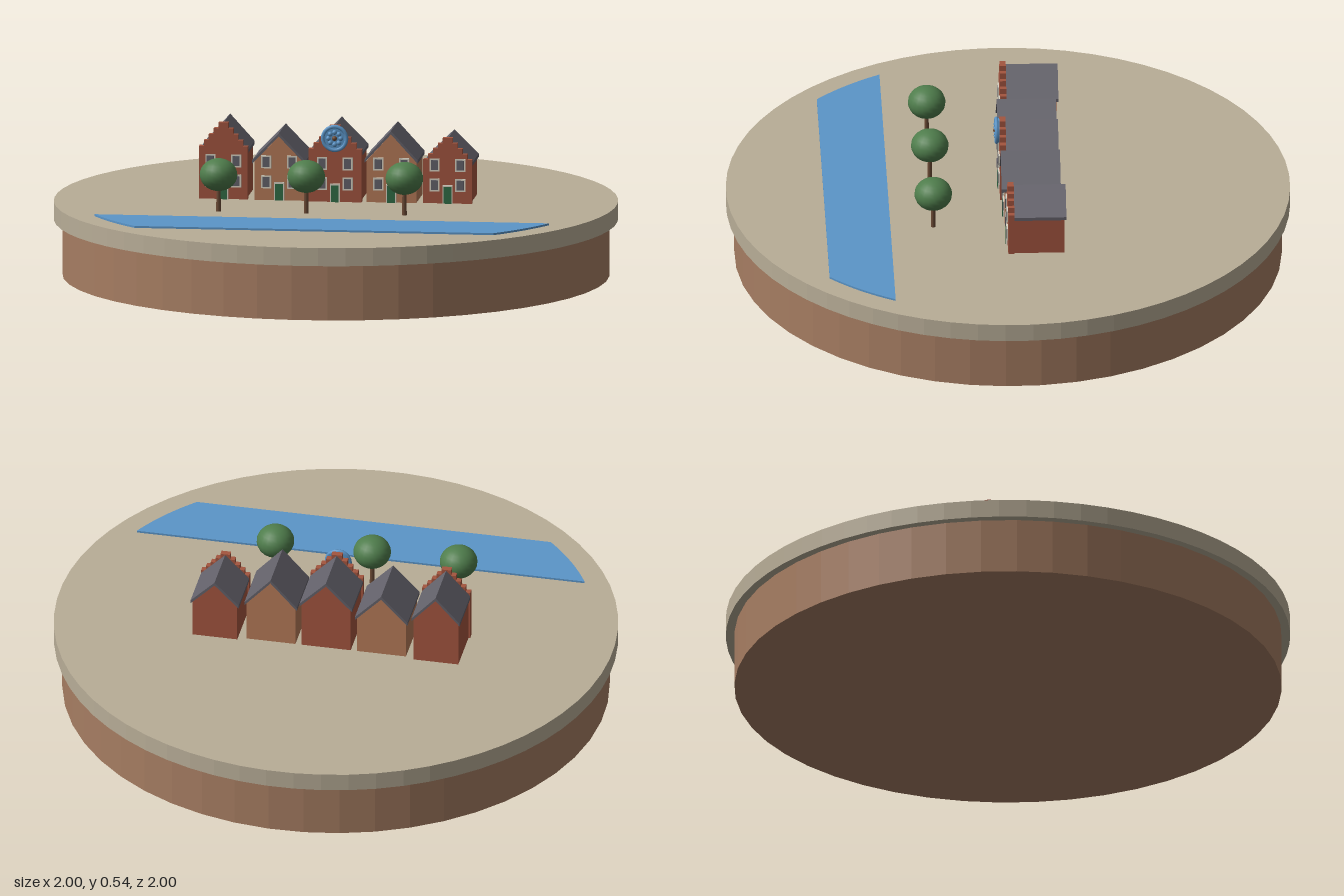
import * as THREE from 'three';

const mat = (name, color, opts = {}) => {
  const m = new THREE.MeshStandardMaterial({ color, ...opts });
  m.name = name;
  return m;
};

export function createModel() {
  const earth = mat('earth', 0xa67d62, { flatShading: true });
  const ground = mat('paving', 0xb8ad97, { flatShading: true });
  const blue = mat('blue', 0x5b95c8);
  const slate = mat('slate', 0x63616a);
  const red = mat('redBrick', 0xa3553f);
  const tan = mat('tanBrick', 0xb57a58);
  const bark = mat('bark', 0x6b4a35);
  const leaf = mat('leaf', 0x4f7d4c);
  const trim = mat('trim', 0xd8d2c2);
  const green = mat('doorGreen', 0x2f6b45);

  const model = new THREE.Group();
  const add = (parent, name, geo, material, x = 0, y = 0, z = 0) => {
    const m = new THREE.Mesh(geo, material);
    m.name = name;
    m.position.set(x, y, z);
    parent.add(m);
    return m;
  };
  const extrude = (pts, depth) => new THREE.ExtrudeGeometry(
    new THREE.Shape(pts.map(([x, y]) => new THREE.Vector2(x, y))),
    { depth, bevelEnabled: false });

  // Round base
  const G = 0.265;
  add(model, 'base', new THREE.CylinderGeometry(0.97, 0.97, 0.2, 48), earth, 0, 0.1, 0);
  add(model, 'groundSlab', new THREE.CylinderGeometry(1, 1, 0.065, 64), ground, 0, 0.2325, 0);

  // Street frame: canal and houses share one angle
  const street = new THREE.Group();
  street.name = 'street';
  street.rotation.y = -Math.PI / 9;
  street.position.y = G;
  model.add(street);

  // Canal: a strip cut by a circle at both ends
  const R = 0.916, a0 = Math.asin(0.427 / R), a1 = Math.asin(0.655 / R);
  const canal = [];
  for (let i = 0; i <= 8; i++) {
    const a = a0 + (a1 - a0) * i / 8;
    canal.push([R * Math.cos(a), -R * Math.sin(a)]);
  }
  for (let i = 8; i >= 0; i--) canal.push([-canal[i][0], canal[i][1]]);
  add(street, 'canal', extrude(canal, 0.007).rotateX(-Math.PI / 2), blue);

  // Framed window on a front wall
  const addWindow = (house, x, y, z) => {
    add(house, 'windowFrame', new THREE.BoxGeometry(0.036, 0.046, 0.006), trim, x, y, z + 0.002);
    add(house, 'windowPane', new THREE.BoxGeometry(0.025, 0.035, 0.006), slate, x, y, z + 0.004);
  };

  const addHouse = ({ x, back, front, width, eave, ridge, brick, stepped }) => {
    const house = new THREE.Group();
    house.name = 'house';
    house.position.x = x;
    street.add(house);
    const w = width / 2, b = w - 0.006, t = 0.012;
    const wallFront = stepped ? front - 0.022 : front - 0.012;
    const wallBack = back + 0.006;

    // Walls with pointed ends
    add(house, 'walls', extrude(
      [[-b, 0], [b, 0], [b, eave], [0, ridge - t], [-b, eave]], wallFront - wallBack),
    brick, 0, 0, wallBack);

    // Pitched roof
    const roofFront = stepped ? wallFront : front;
    add(house, 'roof', extrude(
      [[-w, eave - 0.004], [0, ridge - t], [w, eave - 0.004], [w, eave + 0.008], [0, ridge], [-w, eave + 0.008]],
      roofFront - back), slate, 0, 0, back);

    // Stepped front gable
    let face = wallFront;
    if (stepped) {
      const n = 5, right = [];
      const rise = (ridge + 0.003 - eave) / n;
      for (let i = 0; i < n; i++) {
        const hw = w * (1 - i / n);
        right.push([hw, i ? eave + i * rise : 0], [hw, eave + (i + 1) * rise]);
      }
      const left = right.map(([px, py]) => [-px, py]).reverse();
      add(house, 'steppedGable', extrude([...right, ...left], front - wallFront), brick, 0, 0, wallFront);
      face = front;
    }

    // Windows and door
    for (const sx of [-0.046, 0.046])
      for (const y of [0.066, 0.138]) addWindow(house, sx, y, face);
    add(house, 'doorFrame', new THREE.BoxGeometry(0.036, 0.066, 0.006), trim, 0, 0.033, face + 0.002);
    add(house, 'door', new THREE.BoxGeometry(0.028, 0.06, 0.006), green, 0, 0.03, face + 0.004);
    return house;
  };

  // Row of five houses
  const plain = { back: -0.177, front: 0.033, width: 0.19, brick: tan, stepped: false };
  const gabled = { back: -0.19, front: 0.016, width: 0.174, brick: red, stepped: true };
  addHouse({ ...gabled, x: -0.4, eave: 0.168, ridge: 0.272 });
  addHouse({ ...plain, x: -0.2, eave: 0.137, ridge: 0.243 });
  const middle = addHouse({ ...gabled, x: 0, back: -0.177, front: 0.031, width: 0.19, eave: 0.168, ridge: 0.272 });
  addHouse({ ...plain, x: 0.2, eave: 0.147, ridge: 0.259 });
  addHouse({ ...gabled, x: 0.4, eave: 0.138, ridge: 0.232 });

  // Round rosette on the middle gable
  const rosette = new THREE.Group();
  rosette.name = 'rosette';
  rosette.position.set(0, 0.23, 0.031);
  middle.add(rosette);
  add(rosette, 'rosetteDisc', new THREE.CylinderGeometry(0.044, 0.044, 0.012, 32).rotateX(Math.PI / 2), blue, 0, 0, 0.006);
  add(rosette, 'rosetteRim', new THREE.TorusGeometry(0.042, 0.007, 8, 32), blue, 0, 0, 0.01);
  for (let i = 0; i < 8; i++) {
    const a = i * Math.PI / 4;
    add(rosette, 'rosettePetal', new THREE.SphereGeometry(0.009, 10, 6), blue,
      0.022 * Math.cos(a), 0.022 * Math.sin(a), 0.011);
  }
  add(rosette, 'rosetteHub', new THREE.SphereGeometry(0.009, 12, 8), bark, 0, 0, 0.013);

  // Trees along the canal
  for (const [x, z] of [[-0.457, 0.126], [-0.163, 0.233], [0.166, 0.353]]) {
    const tree = new THREE.Group();
    tree.name = 'tree';
    tree.position.set(x, G, z);
    model.add(tree);
    add(tree, 'trunk', new THREE.CylinderGeometry(0.007, 0.009, 0.1, 8), bark, 0, 0.05, 0);
    add(tree, 'crown', new THREE.SphereGeometry(0.067, 20, 14), leaf, 0, 0.132, 0).scale.y = 0.87;
  }
  return model;
}
